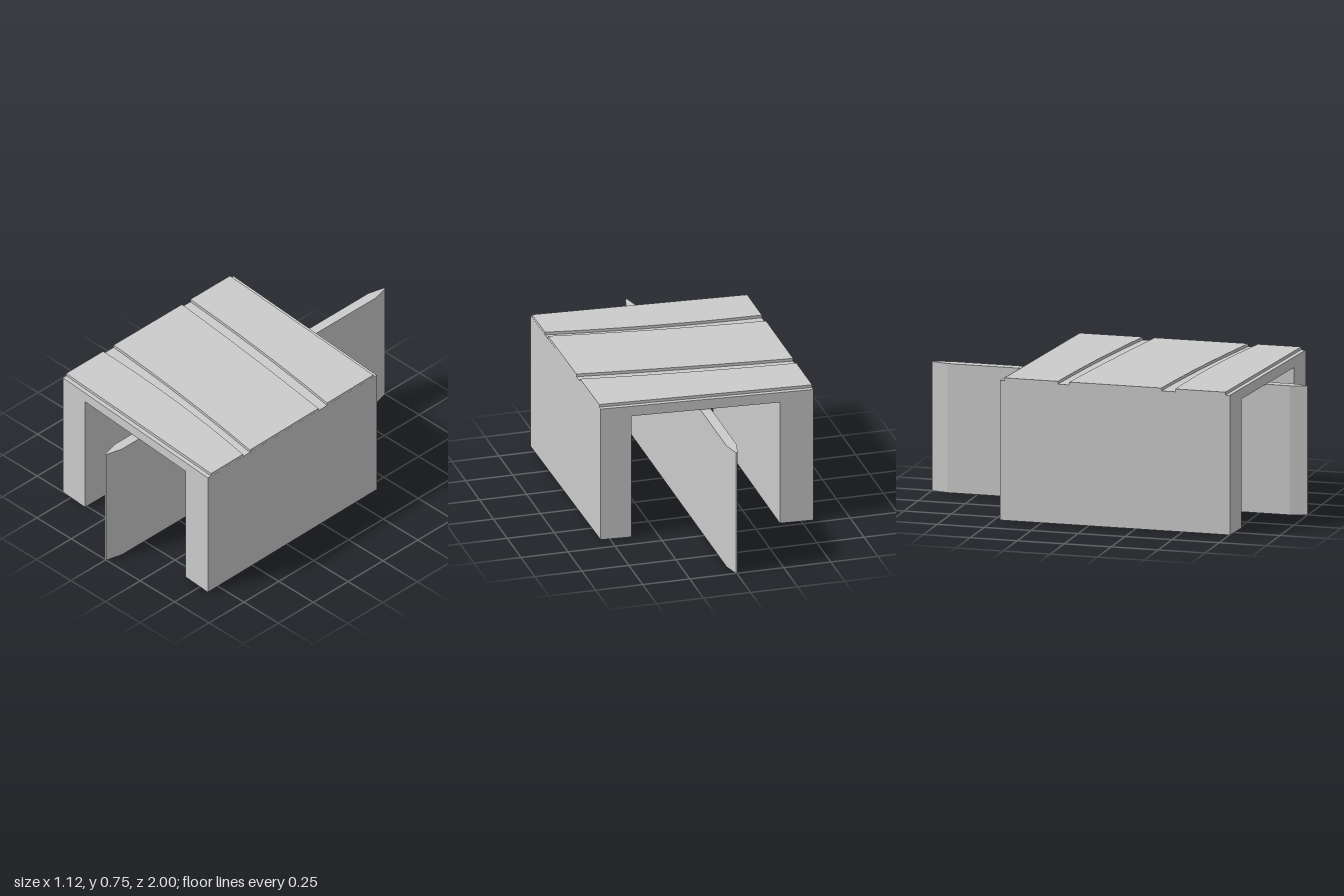
import * as THREE from 'three';

const material = new THREE.MeshStandardMaterial({ color: 0xcccccc, flatShading: true });

const LEG_TOP = 0.675, SLAB_TOP = 0.73, ROAD_TOP = 0.745;
const LEFT = -0.563;

// Skewed end lines of the deck and its slightly slanted right side
const backZ = x => -0.437 + 0.063 * x;
const frontZ = x => 0.787 + 0.063 * x;
const rightX = z => 0.552 + 0.0106 * z;

// Extrude a plan outline of [x, z] points from height y0 to y1
function plan(name, points, y0, y1) {
  const shape = new THREE.Shape(points.map(([x, z]) => new THREE.Vector2(x, -z)));
  const geometry = new THREE.ExtrudeGeometry(shape, { depth: y1 - y0, bevelEnabled: false });
  geometry.rotateX(-Math.PI / 2).translate(0, y0, 0);
  const mesh = new THREE.Mesh(geometry, material);
  mesh.name = name;
  return mesh;
}

// Line across the deck through z values at its left edge, middle and right edge
function across(left, middle, right) {
  const curve = new THREE.QuadraticBezierCurve(
    new THREE.Vector2(LEFT, left),
    new THREE.Vector2(0, 2 * middle - (left + right) / 2),
    new THREE.Vector2(rightX(right), right));
  return curve.getPoints(16).map(p => [p.x, p.y]);
}

export function createModel() {
  const group = new THREE.Group();
  group.name = 'skewedBridge';

  // Deck slab
  const backRight = [0.548, backZ(0.548)], frontRight = [0.561, frontZ(0.561)];
  group.add(plan('deckSlab', [
    [LEFT, backZ(LEFT)], backRight, frontRight, [LEFT, frontZ(LEFT)],
  ], LEG_TOP, SLAB_TOP));

  // Raised road panels, separated by curved grooves
  const edges = [
    [[-0.447, -0.412, -0.377], [-0.163, -0.114, -0.042]],
    [[-0.103, -0.047, 0.021], [0.387, 0.44, 0.518]],
    [[0.462, 0.494, 0.568], [0.728, 0.763, 0.798]],
  ];
  edges.forEach(([back, front], i) => {
    const outline = [...across(...back), ...across(...front).reverse()];
    group.add(plan(`roadPanel${i + 1}`, outline, SLAB_TOP, ROAD_TOP));
  });

  // Abutments at both sides
  group.add(plan('rightAbutment', [
    [LEFT, backZ(LEFT)], [-0.387, backZ(-0.387)],
    [-0.391, frontZ(-0.391)], [LEFT, frontZ(LEFT)],
  ], 0, LEG_TOP));
  group.add(plan('leftAbutment', [
    [0.388, backZ(0.388)], backRight, frontRight, [0.388, frontZ(0.388)],
  ], 0, LEG_TOP));

  // Long central pier with pointed ends
  const w = 0.027, tip = 0.004, shoulder = 0.91;
  group.add(plan('centralPier', [
    [-tip, -1], [tip, -1], [w, -shoulder], [w, shoulder],
    [tip, 1], [-tip, 1], [-w, shoulder], [-w, -shoulder],
  ], 0, LEG_TOP));

  return group;
}
